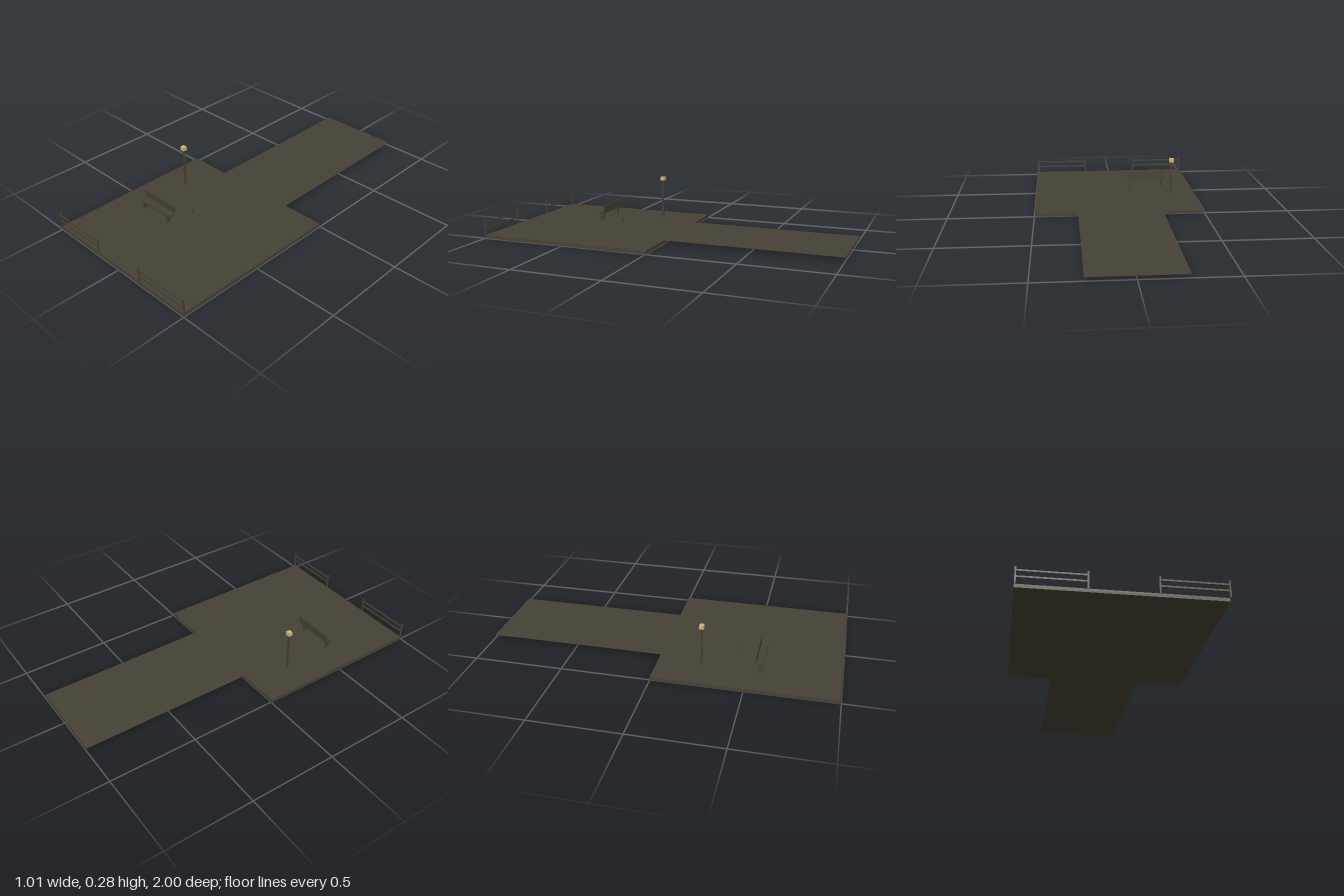
import * as THREE from 'three';

export function createModel() {
  const model = new THREE.Group();
  model.name = 'parkCorner';

  const wood = new THREE.MeshStandardMaterial({ color: 0x474236 });
  wood.name = 'dark brown';
  const glow = new THREE.MeshStandardMaterial({ color: 0xcdb87a });
  glow.name = 'lamp yellow';
  const paving = new THREE.MeshStandardMaterial({ color: 0x474236, side: THREE.DoubleSide });
  paving.name = 'paving brown';

  // Box given by its centre in x and z, its bottom and its size
  function box(parent, name, x, bottom, z, w, h, d, material = wood) {
    const mesh = new THREE.Mesh(new THREE.BoxGeometry(w, h, d), material);
    mesh.position.set(x, bottom + h / 2, z);
    mesh.name = name;
    parent.add(mesh);
    return mesh;
  }

  function group(name) {
    const g = new THREE.Group();
    g.name = name;
    model.add(g);
    return g;
  }

  const floor = 0.019;

  // Ground slab and the flat path leading away behind it
  box(model, 'platform', -0.004, 0, 0.498, 1, floor, 0.996);
  const path = new THREE.Mesh(new THREE.PlaneGeometry(0.5, 1), paving);
  path.rotation.x = -Math.PI / 2;
  path.position.set(-0.004, floor, -0.5);
  path.name = 'path';
  model.add(path);

  // Two fence sections along the front, with a gap between them
  for (const side of [-1, 1]) {
    const fence = group(side < 0 ? 'rightFence' : 'leftFence');
    for (const x of [0.167, 0.5]) {
      box(fence, 'fencePost', side * x, floor, 0.996, 0.008, 0.091, 0.008);
    }
    for (const y of [0.053, 0.086]) {
      box(fence, 'fenceRail', side * 0.3335, y, 0.996, 0.333, 0.009, 0.005);
    }
  }

  // Bench facing the fence
  const bench = group('bench');
  box(bench, 'seat', -0.2125, 0.062, 0.562, 0.248, 0.012, 0.036);
  box(bench, 'backrest', -0.2125, 0.078, 0.539, 0.248, 0.04, 0.007);
  for (const x of [-0.317, -0.1165]) {
    box(bench, 'benchLeg', x, floor, 0.565, 0.012, 0.043, 0.027);
  }

  // Lamp post
  const lamp = group('lampPost');
  box(lamp, 'pole', -0.335, floor, 0.245, 0.01, 0.236, 0.01);
  box(lamp, 'lampHead', -0.335, 0.254, 0.245, 0.027, 0.022, 0.025, glow);

  // Small peg beside the bench
  box(model, 'peg', -0.086, floor, 0.411, 0.006, 0.023, 0.008);

  return model;
}
